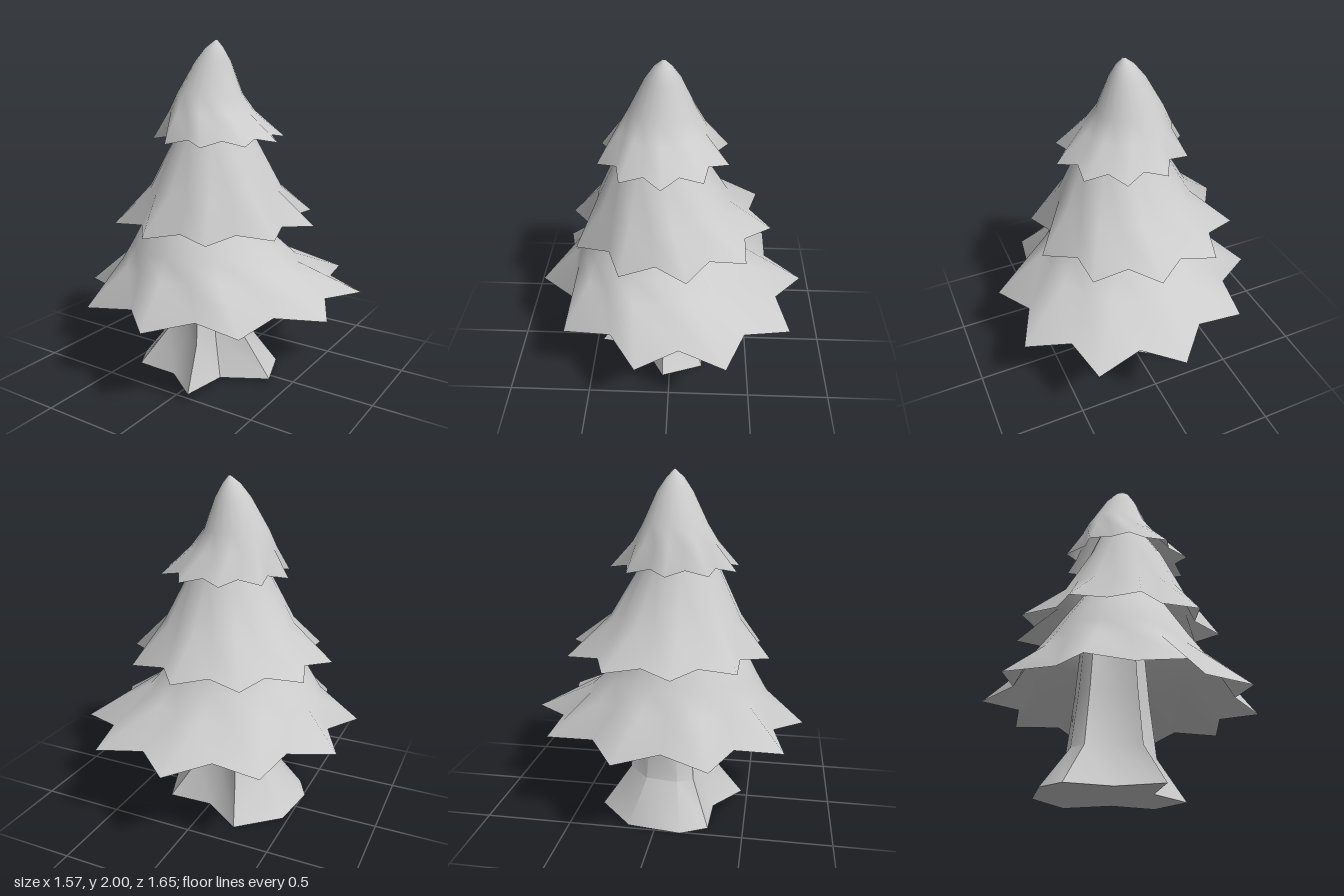
import * as THREE from 'three';
import { toCreasedNormals } from 'three/addons/utils/BufferGeometryUtils.js';

const TIPS = 10;
const VALLEY = 0.805; // valley radius as a share of the tip radius

// Skin over closed rings of points, listed bottom to top, clockwise from above
function loft(rings) {
  const n = rings[0].length, index = [];
  for (let j = 0; j < rings.length - 1; j++) {
    for (let i = 0; i < n; i++) {
      const a = j * n + i, b = j * n + (i + 1) % n;
      index.push(a, a + n, b + n, a, b + n, b);
    }
  }
  const g = new THREE.BufferGeometry().setFromPoints(rings.flat());
  g.setIndex(index);
  g.computeVertexNormals();
  return g;
}

// Jagged rim: a ten-pointed star, optionally stretched along the direction `axis`
function starRim({ cx, cz, start, axis, long, short, y, lift }) {
  return Array.from({ length: TIPS * 2 }, (_, i) => {
    const valley = i % 2, k = valley ? VALLEY : 1;
    const t = start - axis + i * Math.PI / TIPS;
    const u = k * long * Math.cos(t), v = k * short * Math.sin(t);
    const x = cx + u * Math.sin(axis) + v * Math.cos(axis);
    const z = cz - u * Math.cos(axis) + v * Math.sin(axis);
    return new THREE.Vector3(x, y + valley * lift - 0.015 * z, z);
  });
}

// Round ring whose points line up with the rim's tips and valleys
function roundRing(start, [y, cx, cz, r]) {
  return Array.from({ length: TIPS * 2 }, (_, i) => {
    const a = start + i * Math.PI / TIPS;
    return new THREE.Vector3(cx + r * Math.sin(a), y, cz - r * Math.cos(a));
  });
}

// Tiers: star rim, then rings of [height, centre x, centre z, radius]
const TIERS = [
  {
    name: 'lowerBranches', y: 0.52, lift: 0.025,
    cx: 0, cz: 0, start: -0.06, axis: 0.7, long: 0.855, short: 0.79,
    rings: [[0.72, -0.05, 0.07, 0.53], [0.83, -0.06, 0.1, 0.44], [0.95, -0.07, 0.13, 0.35],
      [1.2, -0.05, 0.1, 0.2], [1.4, -0.03, 0.08, 0.005]],
  },
  {
    name: 'middleBranches', y: 0.955, lift: 0.02,
    cx: -0.048, cz: 0.006, start: 0.136, axis: 0, long: 0.612, short: 0.612,
    rings: [[1.16, -0.02, 0.05, 0.39], [1.46, -0.01, 0.07, 0.23], [1.68, -0.03, 0.05, 0.12],
      [1.8, -0.03, 0.05, 0.005]],
  },
  {
    name: 'topBranches', y: 1.445, lift: 0.025,
    cx: 0, cz: 0.043, start: -Math.PI / 10, axis: 0, long: 0.387, short: 0.387,
    rings: [[1.6, -0.045, 0.05, 0.25], [1.7, -0.06, 0.05, 0.19], [1.88, -0.04, 0.045, 0.105],
      [1.955, -0.03, 0.045, 0.053], [2, -0.02, 0.04, 0.005]],
  },
];

// Root outline on the ground as x, z offsets from the trunk's centre
const TRUNK_X = -0.08, TRUNK_Z = 0.04;
const ROOTS = [[-0.085, 0.266], [-0.35, 0.26], [-0.43, 0.11], [-0.39, -0.195], [-0.155, -0.405],
  [0.08, -0.24], [0.35, -0.25], [0.44, 0.005], [0.18, 0.15], [0.135, 0.425]];

// Trunk: the root outline shrinks quickly, then rises into the lower branches
function trunkGeometry() {
  const section = (y, s) => ROOTS.map(([x, z]) =>
    new THREE.Vector3(TRUNK_X + x * s, y, TRUNK_Z + z * s));
  return toCreasedNormals(
    loft([section(0, 1), section(0.23, 0.6), section(0.55, 0.51), section(0.85, 0.45)]), 0.75);
}

// Flat underside of the roots
function trunkBaseGeometry() {
  const outline = new THREE.Shape(ROOTS.map(([x, z]) => new THREE.Vector2(x, z)));
  return new THREE.ShapeGeometry(outline).rotateX(Math.PI / 2).translate(TRUNK_X, 0, TRUNK_Z);
}

export function createModel() {
  const tree = new THREE.Group();
  tree.name = 'tree';
  const material = new THREE.MeshStandardMaterial({ color: 0xcccccc, side: THREE.DoubleSide });
  const add = (name, geometry) => {
    const mesh = new THREE.Mesh(geometry, material);
    mesh.name = name;
    tree.add(mesh);
  };

  add('trunk', trunkGeometry());
  add('trunkBase', trunkBaseGeometry());
  for (const tier of TIERS) {
    const rings = tier.rings.map((ring) => roundRing(tier.start, ring));
    add(tier.name, loft([starRim(tier), ...rings]));
  }
  return tree;
}
